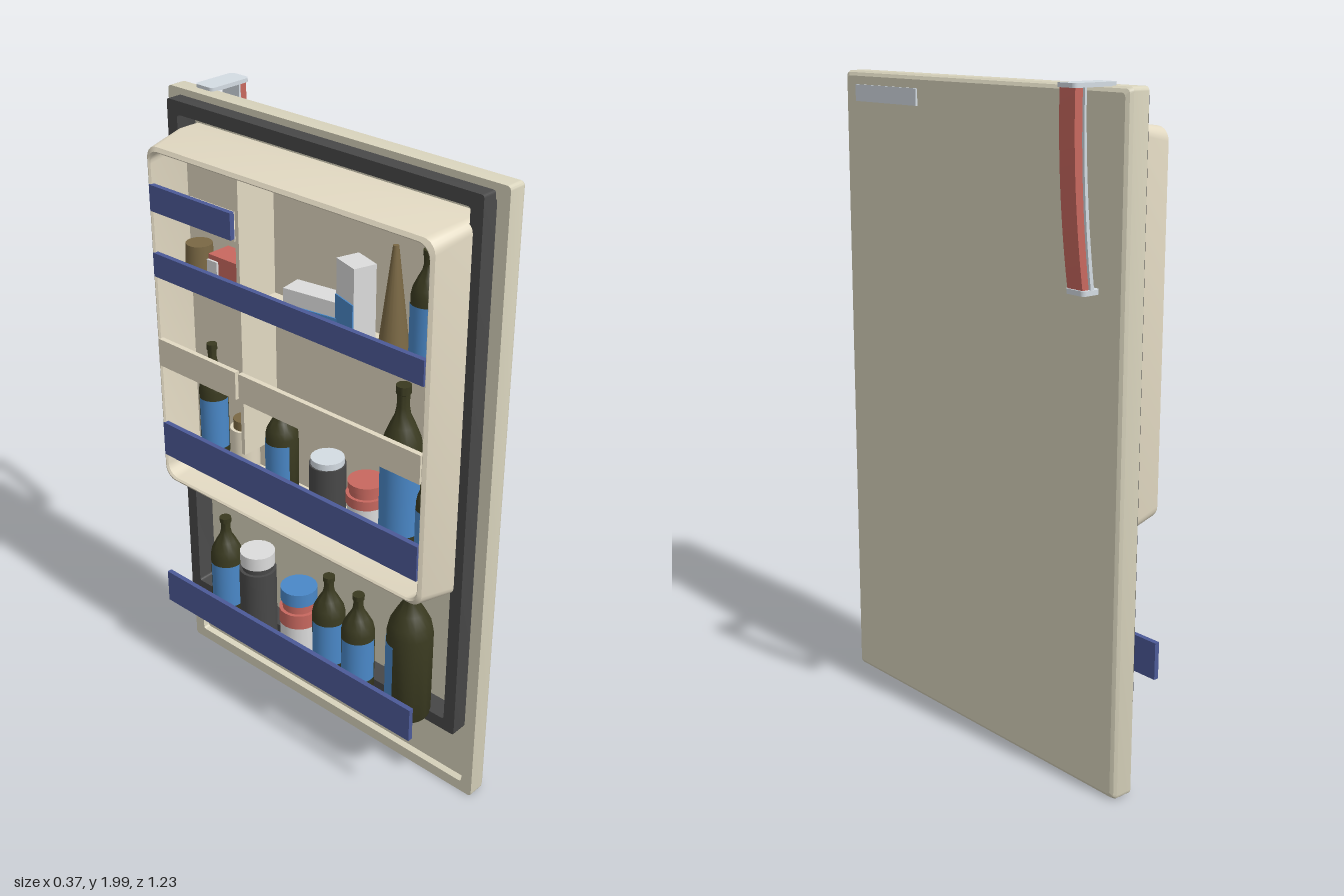
import * as THREE from 'three';
import { toCreasedNormals } from 'three/addons/utils/BufferGeometryUtils.js';

const mat = (name, color, side = THREE.FrontSide) => {
  const m = new THREE.MeshStandardMaterial({ color, side });
  m.name = name;
  return m;
};

export function createModel() {
  const M = {
    cream: mat('cream enamel', 0xd9d4bd),
    liner: mat('warm liner', 0xe2d9c2),
    rubber: mat('dark rubber', 0x484848),
    navy: mat('navy rail', 0x4c5a98),
    glass: mat('olive glass', 0x3a3a20),
    label: mat('blue label', 0x4a88c8, THREE.DoubleSide),
    red: mat('red', 0xc8685f),
    silver: mat('silver', 0xd4dce3),
    white: mat('white', 0xdcdcdc),
    brown: mat('brown', 0x7a6844),
  };

  const model = new THREE.Group();
  model.name = 'fridgeDoor';
  // the door hangs very slightly ajar
  const door = new THREE.Group();
  door.name = 'doorLeaf';
  door.rotation.y = 0.0125;
  model.add(door);

  const add = (parent, name, geo, material, x = 0, y = 0, z = 0) => {
    const m = new THREE.Mesh(geo, material);
    m.name = name;
    m.position.set(x, y, z);
    parent.add(m);
    return m;
  };
  // box given by its limits
  const box = (parent, name, material, x0, x1, y0, y1, z0, z1) =>
    add(parent, name, new THREE.BoxGeometry(x1 - x0, y1 - y0, z1 - z0), material,
      (x0 + x1) / 2, (y0 + y1) / 2, (z0 + z1) / 2);

  // rounded rectangle in the y-z plane
  const loop = ([x, y0, y1, z0, z1, r]) => {
    const pts = [];
    [[z1 - r, y1 - r], [z0 + r, y1 - r], [z0 + r, y0 + r], [z1 - r, y0 + r]].forEach(([cz, cy], k) => {
      for (let i = 0; i <= 5; i++) {
        const a = (k + i / 5) * Math.PI / 2;
        pts.push([x, cy + r * Math.sin(a), cz + r * Math.cos(a)]);
      }
    });
    return pts;
  };
  // skin through a list of rounded rectangles, with optional end caps
  const loft = (sections, capStart, capEnd) => {
    const L = sections.map(loop), n = L[0].length, pos = [];
    const tri = (a, b, c) => pos.push(...a, ...b, ...c);
    const mid = ([x, y0, y1, z0, z1]) => [x, (y0 + y1) / 2, (z0 + z1) / 2];
    for (let j = 0; j < n; j++) {
      const k = (j + 1) % n;
      for (let i = 0; i + 1 < L.length; i++) {
        tri(L[i][j], L[i + 1][j], L[i][k]);
        tri(L[i + 1][j], L[i + 1][k], L[i][k]);
      }
      if (capStart) tri(mid(sections[0]), L[0][j], L[0][k]);
      if (capEnd) tri(mid(sections.at(-1)), L.at(-1)[k], L.at(-1)[j]);
    }
    const g = new THREE.BufferGeometry();
    g.setAttribute('position', new THREE.Float32BufferAttribute(pos, 3));
    return toCreasedNormals(g, 0.4);
  };

  // outer door panel with a shallow recess on the inside
  add(door, 'doorPanel', loft([
    [0.025, 0.045, 1.95, -0.575, 0.575, 0.01],
    [0.002, 0.045, 1.95, -0.575, 0.575, 0.01],
    [0.002, 0.008, 1.99, -0.614, 0.614, 0.012],
    [0.056, 0.008, 1.99, -0.614, 0.614, 0.012],
    [0.066, 0.013, 1.985, -0.609, 0.609, 0.012],
    [0.072, 0.023, 1.975, -0.599, 0.599, 0.012],
  ], true, true), M.cream);
  box(door, 'badge', M.silver, 0.07, 0.078, 1.9, 1.95, 0.25, 0.55);

  // sealing gasket
  add(door, 'gasket', loft([
    [0.025, 0.3, 1.93, -0.53, 0.53, 0.008],
    [-0.045, 0.3, 1.93, -0.53, 0.53, 0.008],
    [-0.045, 0.26, 1.97, -0.57, 0.57, 0.008],
    [0.025, 0.26, 1.97, -0.57, 0.57, 0.008],
  ]), M.rubber);

  // tapered storage tub, open on the inside of the door
  add(door, 'tub', loft([
    [-0.02, 0.785, 1.865, -0.525, 0.525, 0.03],
    [-0.172, 0.79, 1.86, -0.51, 0.51, 0.04],
    [-0.177, 0.785, 1.865, -0.515, 0.515, 0.04],
    [-0.17, 0.775, 1.876, -0.525, 0.525, 0.04],
    [-0.04, 0.758, 1.892, -0.542, 0.542, 0.03],
    [0.024, 0.758, 1.892, -0.542, 0.542, 0.03],
  ], true), M.liner);
  box(door, 'divider', M.liner, -0.16, -0.02, 0.99, 1.86, -0.185, -0.172);

  // shelf floors and rails
  const shelves = [
    ['topShelf', M.navy, 1.68, 1.76, -0.515, -0.185],
    ['upperShelf', M.navy, 1.475, 1.55, -0.515, 0.51],
    ['leftMiddleRail', M.liner, 1.18, 1.27, -0.515, -0.185],
    ['rightMiddleRail', M.liner, 1.18, 1.27, -0.172, 0.51],
    ['lowerShelf', M.navy, 0.865, 0.98, -0.515, 0.51],
    ['bottomShelf', M.navy, 0.285, 0.4, -0.54, 0.505],
  ];
  for (const [name, material, y0, y1, z0, z1] of shelves) {
    box(door, name + 'Rail', material, -0.179, -0.163, y0, y1, z0, z1);
    if (material === M.navy && name !== 'bottomShelf')
      box(door, name + 'Floor', M.liner, -0.163, -0.02, y0 - 0.008, y0, z0, z1);
  }

  // bottle with a label wrapped part of the way round
  const bottle = (y, z, r, h, turn = 0, x = -0.085) => {
    const g = new THREE.Group();
    g.name = 'bottle';
    g.position.set(x, y, z);
    const profile = [[0, 0], [0.94, 0], [1, 0.02], [1, 0.62], [0.9, 0.69], [0.62, 0.77], [0.38, 0.83],
      [0.3, 0.88], [0.3, 0.95], [0.36, 0.955], [0.36, 1], [0, 1]];
    add(g, 'bottleGlass', toCreasedNormals(new THREE.LatheGeometry(
      profile.map(([a, b]) => new THREE.Vector2(a * r, b * h)), 20), 0.7), M.glass);
    add(g, 'bottleLabel', new THREE.CylinderGeometry(r * 1.03, r * 1.03, h * 0.42, 14, 1, true,
      -Math.PI / 2 - 1.2 + turn, 2.4), M.label, 0, h * 0.35, 0);
    door.add(g);
  };
  // jar built from stacked bands: [material, radius, height]
  const jar = (y, z, bands) => {
    const g = new THREE.Group();
    g.name = 'jar';
    g.position.set(-0.092, y, z);
    let t = 0;
    for (const [material, r, h] of bands) {
      add(g, 'jarBand', new THREE.CylinderGeometry(r, r, h, 20), material, 0, t + h / 2, 0);
      t += h;
    }
    door.add(g);
  };

  // bottom shelf contents
  bottle(0.285, -0.35, 0.052, 0.37, 0.8);
  jar(0.285, -0.2, [[M.rubber, 0.06, 0.25], [M.rubber, 0.05, 0.02], [M.white, 0.056, 0.045]]);
  jar(0.285, -0.02, [[M.white, 0.06, 0.14], [M.red, 0.063, 0.05], [M.red, 0.052, 0.03], [M.label, 0.058, 0.045]]);
  bottle(0.285, 0.1, 0.052, 0.355, 0.7);
  bottle(0.285, 0.22, 0.052, 0.345, 0.7);
  bottle(0.285, 0.41, 0.07, 0.485, -1.27, -0.07);

  // lower tub shelf contents
  bottle(0.865, -0.38, 0.045, 0.4, 0.8);
  jar(0.865, -0.24, [[M.liner, 0.045, 0.17], [M.brown, 0.035, 0.03]]);
  bottle(0.865, -0.09, 0.05, 0.32, 0);
  jar(0.865, 0.1, [[M.rubber, 0.055, 0.18], [M.silver, 0.05, 0.02]]);
  jar(0.865, 0.25, [[M.white, 0.055, 0.115], [M.red, 0.06, 0.03], [M.red, 0.05, 0.02], [M.red, 0.055, 0.02]]);
  bottle(0.865, 0.37, 0.06, 0.53, 0.5);
  bottle(0.865, 0.47, 0.035, 0.32, 0.2);

  // upper tub shelf contents
  const carton = (y, z, w, h, turn) => {
    const g = new THREE.Group();
    g.name = 'carton';
    g.position.set(-0.09, y, z);
    g.rotation.y = turn;
    box(g, 'cartonBody', M.white, -0.035, 0.035, 0, h, -w / 2, w / 2);
    box(g, 'cartonStripe', M.label, -0.039, -0.035, h * 0.2, h * 0.55, -w / 2, w / 2);
    door.add(g);
  };
  carton(1.475, 0.07, 0.2, 0.1, 0.15);
  carton(1.475, 0.2, 0.09, 0.23, -0.3);
  add(door, 'coneBottle', new THREE.CylinderGeometry(0.008, 0.045, 0.31, 18), M.brown, -0.085, 1.63, 0.33);
  bottle(1.475, 0.44, 0.045, 0.33, 0.2);
  box(door, 'redPack', M.red, -0.13, -0.05, 1.475, 1.585, -0.33, -0.2);
  box(door, 'whitePack', M.white, -0.137, -0.13, 1.5, 1.57, -0.33, -0.29);
  add(door, 'brownJar', new THREE.CylinderGeometry(0.04, 0.045, 0.11, 18), M.brown, -0.09, 1.53, -0.41);

  // curved handle: red grip over a silver backing strip
  const handle = new THREE.Group();
  handle.name = 'handle';
  model.add(handle);
  const strip = (name, material, front, back, z0, z1) => {
    const curve = (c) => new THREE.QuadraticBezierCurve(...c.map(([x, y]) => new THREE.Vector2(x, y))).getPoints(12);
    const shape = new THREE.Shape([...curve(front), ...curve(back).reverse()]);
    add(handle, name, toCreasedNormals(
      new THREE.ExtrudeGeometry(shape, { depth: z1 - z0, bevelEnabled: false }), 0.6), material, 0, 0, z0);
  };
  const path = (top, middle, bottom) => [[top, 1.99], [middle, 1.73], [bottom, 1.468]];
  strip('handleGrip', M.red, path(0.17, 0.175, 0.134), path(0.142, 0.147, 0.11), -0.53, -0.472);
  strip('handleBacking', M.silver, path(0.144, 0.149, 0.112), path(0.138, 0.138, 0.1), -0.538, -0.468);
  const plate = (name, x0, x1, y, h) => {
    const r = 0.014, w = (x1 - x0) / 2 - r, d = 0.037 - r, s = new THREE.Shape();
    [[w, d], [-w, d], [-w, -d], [w, -d]].forEach(([x, z], k) =>
      s.absarc(x, z, r, k * Math.PI / 2, (k + 1) * Math.PI / 2));
    const g = new THREE.ExtrudeGeometry(s, { depth: h, bevelEnabled: false, curveSegments: 5 });
    add(handle, name, g.rotateX(-Math.PI / 2), M.silver, (x0 + x1) / 2, y, -0.503);
  };
  plate('handleTopPlate', 0.03, 0.18, 1.988, 0.012);
  plate('handleBottomPlate', 0.078, 0.14, 1.458, 0.014);

  return model;
}
